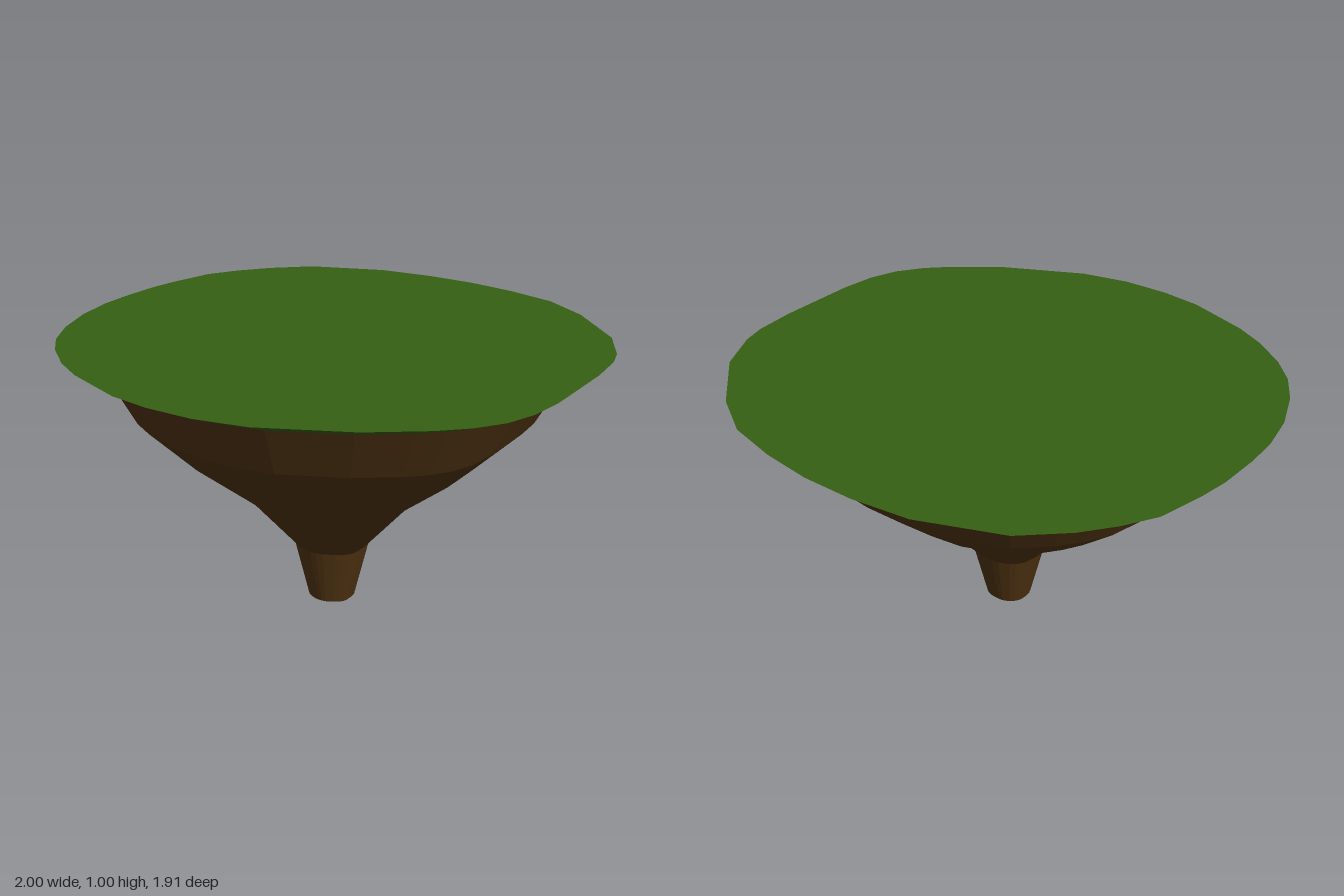
import * as THREE from 'three';

// Island coastline as [x, z], clockwise from the back
const OUTLINE = [
  [0, -0.955], [0.195, -0.94], [0.4, -0.9], [0.585, -0.8], [0.815, -0.6], [0.917, -0.436],
  [0.95, -0.345], [0.976, -0.185], [0.99, 0], [1, 0.136], [0.995, 0.275], [0.965, 0.39],
  [0.906, 0.49], [0.826, 0.58], [0.655, 0.725], [0.366, 0.89], [0.18, 0.942], [0, 0.955],
  [-0.163, 0.942], [-0.414, 0.87], [-0.543, 0.81], [-0.676, 0.72], [-0.773, 0.628],
  [-0.858, 0.505], [-0.933, 0.345], [-0.976, 0.19], [-0.992, 0.06], [-1, -0.104],
  [-0.992, -0.222], [-0.965, -0.4], [-0.906, -0.52], [-0.83, -0.634], [-0.698, -0.773],
  [-0.414, -0.906], [-0.2, -0.944],
];
// Every ring is the coastline shrunk towards this axis
const AXIS = { x: 0.05, z: 0.068 };

const ring = ([scale, y]) => OUTLINE.map(([x, z]) => [
  AXIS.x + (x - AXIS.x) * scale, y, AXIS.z + (z - AXIS.z) * scale,
]);

// Skin over [scale, height] levels listed from bottom to top, with optional end caps
function loft(name, levels, color, { top = false, bottom = false }) {
  const rings = levels.map(ring);
  const n = OUTLINE.length;
  const pos = [];
  const tri = (...corners) => corners.forEach((c) => pos.push(...c));
  const first = rings[0], last = rings[rings.length - 1];
  for (let i = 0; i < n; i++) {
    const j = (i + 1) % n;
    for (let k = 0; k < rings.length - 1; k++) {
      const lo = rings[k], hi = rings[k + 1];
      tri(lo[j], lo[i], hi[i]);
      tri(lo[j], hi[i], hi[j]);
    }
    if (top) tri([AXIS.x, last[0][1], AXIS.z], last[j], last[i]);
    if (bottom) tri([AXIS.x, first[0][1], AXIS.z], first[i], first[j]);
  }
  const geometry = new THREE.BufferGeometry();
  geometry.setAttribute('position', new THREE.Float32BufferAttribute(pos, 3));
  geometry.computeVertexNormals();
  const mesh = new THREE.Mesh(geometry, new THREE.MeshStandardMaterial({ color, flatShading: true }));
  mesh.name = name;
  return mesh;
}

export function createModel() {
  const island = new THREE.Group();
  island.name = 'floatingIsland';
  // Flat grass top with a sloping underside lip
  island.add(loft('grassTop', [[0.845, 0.94], [1, 1]], 0x356012, { top: true }));
  // Earth tapering in steps down to a short stem
  island.add(loft('earthBase', [
    [0.087, 0], [0.14, 0.22], [0.32, 0.415], [0.558, 0.59], [0.74, 0.755], [0.845, 0.94],
  ], 0x4f3312, { bottom: true }));
  return island;
}
